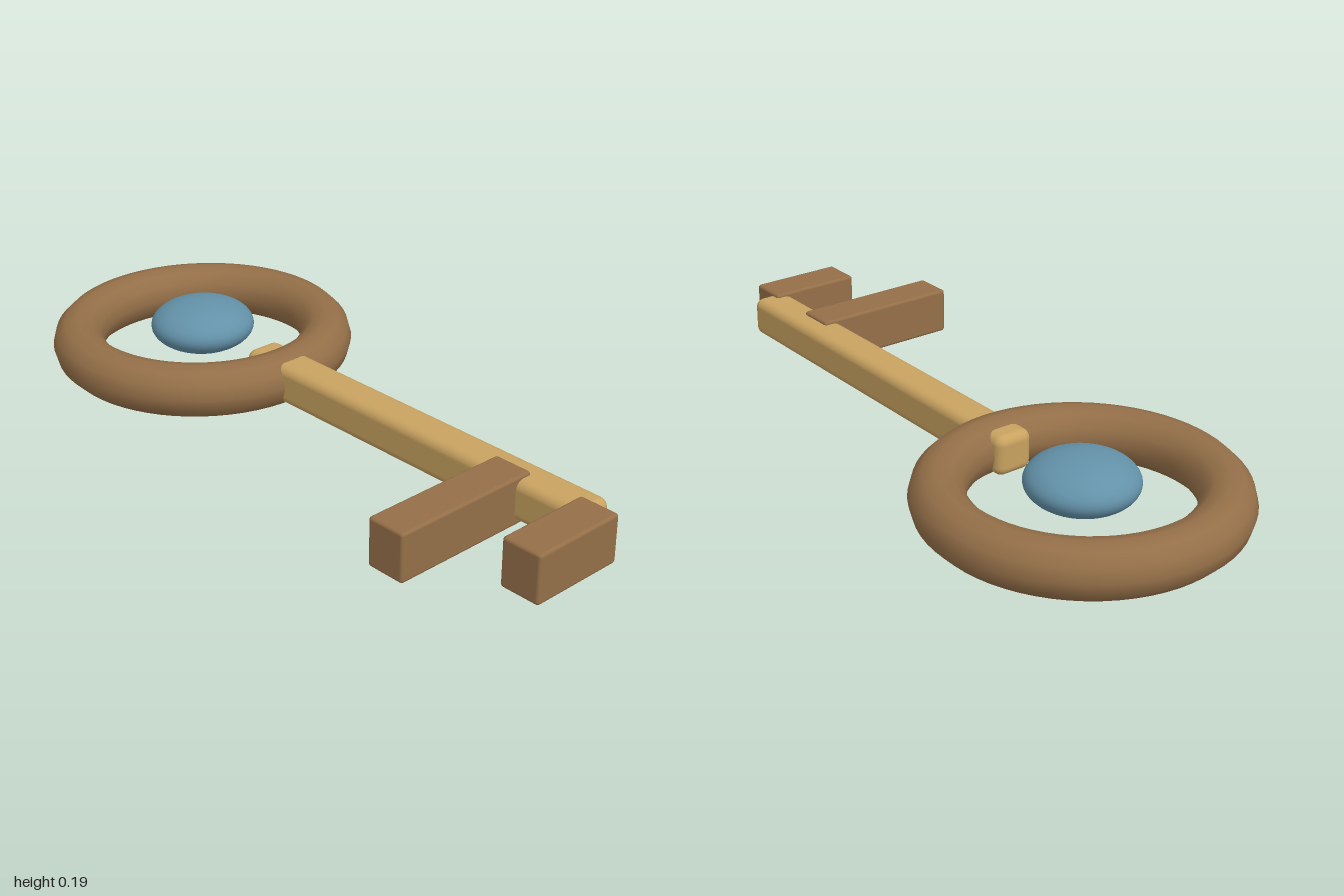
import * as THREE from 'three';
import { RoundedBoxGeometry } from 'three/addons/geometries/RoundedBoxGeometry.js';

export function createModel() {
  const model = new THREE.Group();
  model.name = 'key';

  const bronze = new THREE.MeshStandardMaterial({ color: 0x946f48 });
  bronze.name = 'bronze brown';
  const brass = new THREE.MeshStandardMaterial({ color: 0xc8a260 });
  brass.name = 'brass';
  const blue = new THREE.MeshStandardMaterial({ color: 0x6391a8 });
  blue.name = 'gem blue';

  const add = (name, geometry, material, x, y, z) => {
    const mesh = new THREE.Mesh(geometry, material);
    mesh.name = name;
    mesh.position.set(x, y, z);
    model.add(mesh);
    return mesh;
  };

  // Rounded box given by its minimum and maximum corners
  const block = (name, material, min, max, radius, segments) => {
    const size = max.map((v, i) => v - min[i]);
    const mid = max.map((v, i) => (v + min[i]) / 2);
    add(name, new RoundedBoxGeometry(...size, segments, radius), material, ...mid);
  };

  // Ring handle lying flat
  const ring = new THREE.TorusGeometry(0.363, 0.075, 12, 64).rotateX(Math.PI / 2);
  add('ringHandle', ring, bronze, -0.562, 0.076, -0.005);

  // Flattened gem floating in the ring
  const gem = new THREE.SphereGeometry(0.151, 40, 24).scale(1, 0.48, 1);
  add('gem', gem, blue, -0.562, 0.115, -0.005);

  // Shaft, its end poking through the ring
  block('shaft', brass, [-0.3, 0.022, -0.061], [0.93, 0.137, 0.052], 0.026, 4);

  // Two teeth of different length
  block('longTooth', bronze, [0.61, 0.01, -0.003], [0.725, 0.147, 0.441], 0.009, 2);
  block('shortTooth', bronze, [0.882, 0.01, -0.003], [1.0, 0.147, 0.277], 0.009, 2);

  return model;
}
